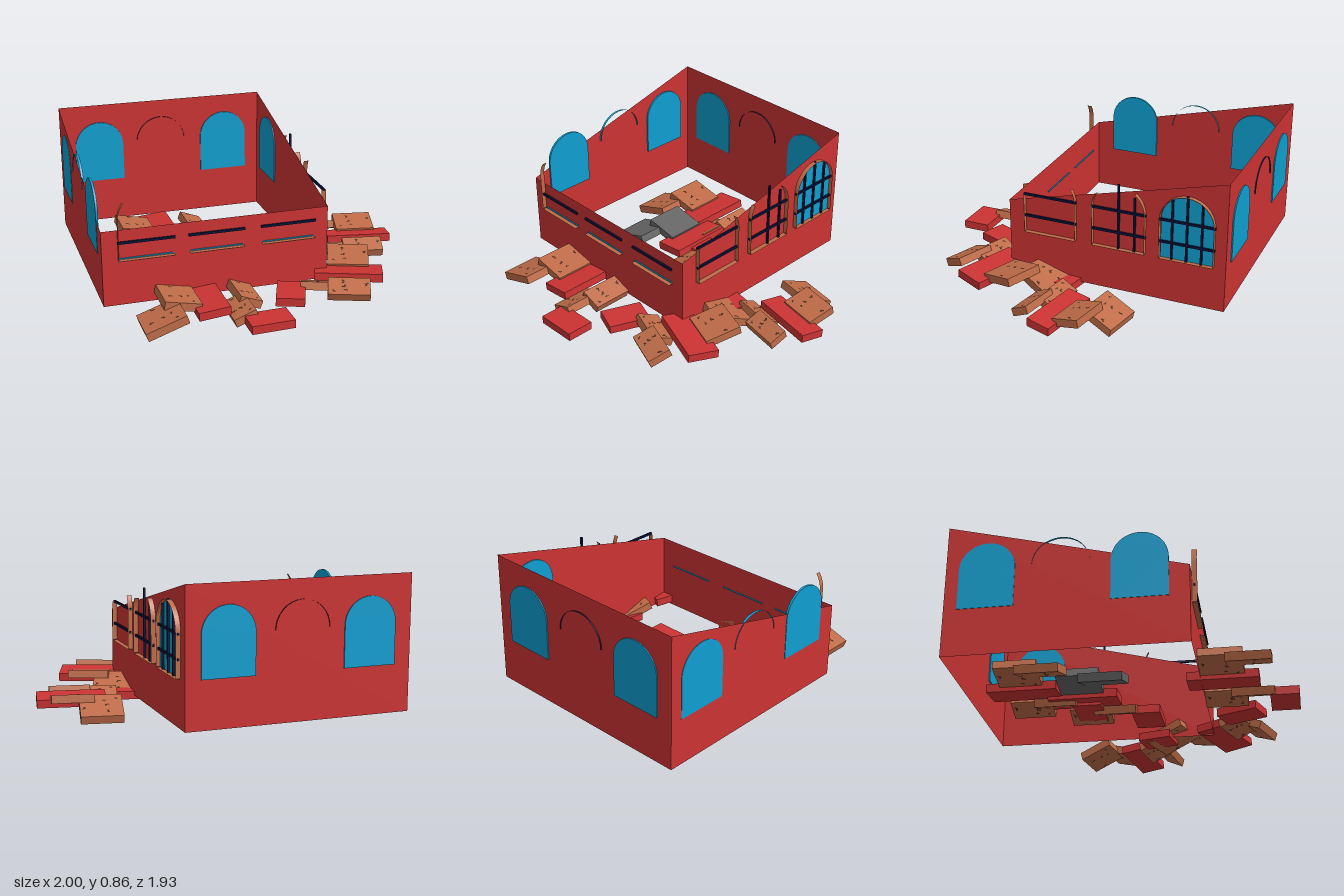
import * as THREE from 'three';

const mat = (name, color, side = THREE.FrontSide) => {
  const m = new THREE.MeshStandardMaterial({ color, side });
  m.name = name;
  return m;
};

export function createModel() {
  const D = THREE.DoubleSide;
  const red = mat('brick red', 0xcc3333, D);
  const blue = mat('glass blue', 0x0f9fd0, D);
  const navy = mat('dark navy', 0x0a1238, D);
  const copper = mat('copper brown', 0xbf6c48, D);
  const grey = mat('stone grey', 0x666666);
  const dark = mat('dark brown', 0x4a2a1a, D);

  const model = new THREE.Group();
  model.name = 'ruinedBuilding';
  const add = (parent, name, geo, material, x = 0, y = 0, z = 0) => {
    const m = new THREE.Mesh(geo, material);
    m.name = name;
    m.position.set(x, y, z);
    parent.add(m);
    return m;
  };
  const polygon = pts => new THREE.Shape(pts.map(p => new THREE.Vector2(...p)));

  // Thin walls: low front, high back, sloping sides
  const X0 = -1, X1 = 0.37, Z0 = -0.96, Z1 = 0.41, BASE = 0.06, LOW = 0.525, HIGH = 0.87;
  const wall = (name, w, h, z) =>
    add(model, name, new THREE.PlaneGeometry(w, h), red, (X0 + X1) / 2, BASE + h / 2, z);
  wall('frontWall', X1 - X0, LOW - BASE, Z1);
  wall('backWall', X1 - X0, HIGH - BASE, Z0);
  const sideShape = polygon([[-Z1, BASE], [-Z0, BASE], [-Z0, HIGH], [-Z1, LOW]]);
  for (const [name, x] of [['leftWall', X1], ['rightWall', X0]])
    add(model, name, new THREE.ShapeGeometry(sideShape), red, x).rotation.y = Math.PI / 2;

  // Window parts; local x runs along the wall, z points outward
  const R = 0.16, SILL = 0.345, SPRING = 0.59;
  const arc = (a, b, r = R + 0.005, n = 16) => Array.from({ length: n + 1 }, (_, i) => {
    const t = THREE.MathUtils.degToRad(a + (b - a) * i / n);
    return [r * Math.cos(t), SPRING + r * Math.sin(t)];
  });
  const ribbon = (parent, name, pts, z0, z1, material) => {
    const n = pts.length, geo = new THREE.PlaneGeometry(1, 1, n - 1, 1);
    const pos = geo.attributes.position;
    pts.forEach(([x, y], i) => {
      pos.setXYZ(i, x, y, z1);
      pos.setXYZ(n + i, x, y, z0);
    });
    geo.computeVertexNormals();
    return add(parent, name, geo, material);
  };
  const glassShape = polygon([[-R, SILL], [R, SILL], ...arc(0, 180, R, 24)]);
  const glassGeo = new THREE.ExtrudeGeometry(glassShape, { depth: 0.014, bevelEnabled: false });
  glassGeo.translate(0, 0, -0.007);
  const glass = w => add(w, 'glass', glassGeo, blue);
  const rail = (w, y) => add(w, 'rail', new THREE.BoxGeometry(0.34, 0.014, 0.012), navy, 0, y, 0.014);
  const bar = (w, x, top) =>
    add(w, 'bar', new THREE.BoxGeometry(0.012, top - SILL, 0.012), navy, x, (top + SILL) / 2, 0.014);
  const E = R + 0.005, FRAME = 0.03;
  const frame = (w, pts) => ribbon(w, 'frame', pts, 0, FRAME, copper);
  const sill = w => frame(w, [[-E, SILL - 0.003], [E, SILL - 0.003]]);

  const along = [-0.74, -0.32, 0.12];
  const opening = (name, x, z, turn) => {
    const w = new THREE.Group();
    w.name = name;
    w.position.set(x, 0, z);
    w.rotation.y = turn;
    model.add(w);
    return w;
  };

  // Back and far side: outer windows glazed, middle one only an arch
  along.forEach((c, i) => {
    const back = opening('backWindow', c, Z0, Math.PI);
    const side = opening('rightWindow', X0 + 0.004, c + 0.015, -Math.PI / 2);
    if (i !== 1) {
      glass(back);
      glass(side);
    } else {
      ribbon(back, 'arch', arc(0, 180), -0.008, 0.008, navy);
      ribbon(side, 'arch', arc(0, 180), -0.008, 0.008, blue);
    }
  });

  // Broken windows of the front wall
  along.forEach((c, i) => {
    const w = opening('frontWindow', c, Z1, 0);
    sill(w);
    rail(w, 0.45);
    add(w, 'glassEdge', new THREE.BoxGeometry(2 * R, 0.006, 0.014), blue, 0, SILL + 0.004, 0);
    if (i === 0) frame(w, [[-E, SILL], ...arc(180, 143)]);
  });

  // Windows of the near side: whole, half broken, mostly broken
  along.forEach((c, i) => {
    const w = opening('leftWindow', X1, c + 0.015, Math.PI / 2);
    sill(w);
    rail(w, 0.45);
    rail(w, 0.59);
    if (i === 0) {
      glass(w);
      frame(w, [[E, SILL], ...arc(0, 180), [-E, SILL]]);
      for (const x of [-0.09, 0, 0.09]) bar(w, x, x ? 0.72 : 0.76);
    } else if (i === 1) {
      frame(w, [[E, SILL], ...arc(0, 50)]);
      frame(w, [[-E, SILL], ...arc(180, 147)]);
      bar(w, 0, 0.76);
      bar(w, 0.1, 0.69);
    } else {
      frame(w, [[-E, SILL], [-E, SPRING]]);
      frame(w, [[E, SILL], ...arc(0, 30)]);
    }
  });

  // Rubble pile: [name, x, y, z, width, depth, tilt, kind]
  const T = 0.05;
  const pieces = [
    ['slab', -0.295, 0.075, 0.16, 0.25, 0.25, 0.33, 'slab'],
    ['slab', -0.165, 0.115, 0, 0.22, 0.25, -0.2, 'slab'],
    ['plank', 0, 0.085, 0, 0.19, 0.41, 0.1, 'red'],
    ['brick', 0.16, 0.07, 0.16, 0.14, 0.25, 0.36, 'small'],
    ['brick', 0.235, 0.085, 0, 0.14, 0.25, -0.36, 'small'],
    ['block', 0.275, 0.065, 0.34, 0.255, 0.17, 0.02, 'red'],
  ];
  // Chips on the slab faces
  const chip = new THREE.ShapeGeometry(polygon([
    [-0.018, -0.006], [-0.006, -0.012], [0.004, -0.004], [0.016, -0.01],
    [0.018, 0.004], [0.006, 0.003], [0, 0.013], [-0.009, 0.003]]));
  chip.rotateX(-Math.PI / 2);
  const chipSpots = [[-0.28, 0.14], [0.22, 0.08], [-0.12, -0.4], [0.3, 0.36], [0.02, 0.12]];

  const pile = (x, z, turn = 0, squash = 1, lift = 0, slabMat = copper) => {
    const g = new THREE.Group();
    g.name = 'rubblePile';
    g.position.set(x, lift, z);
    g.rotation.y = turn;
    g.scale.x = squash;
    model.add(g);
    for (const [name, px, py, pz, w, d, tilt, kind] of pieces) {
      const m = kind === 'red' ? red : kind === 'slab' ? slabMat : copper;
      const p = add(g, name, new THREE.BoxGeometry(w, T, d), m, px, py, pz);
      p.rotation.z = tilt;
      if (m !== copper) continue;
      chipSpots.forEach(([u, v], i) => {
        for (const s of [1, -1]) {
          const c = add(p, 'chip', chip, dark, u * w, s * (T / 2 + 0.001), v * d);
          c.rotation.y = i * 1.3;
          c.scale.setScalar(i % 2 ? 0.7 : 0.9);
        }
      });
    }
  };
  pile(-0.425, -0.625);
  pile(-0.275, -0.295, 0, 1, -0.005, grey);
  pile(-0.425, 0.535);
  pile(0.49, 0.47, -1.937, 1, 0.015);
  pile(0.78, -0.1, -1.763, 0.8);

  return model;
}
